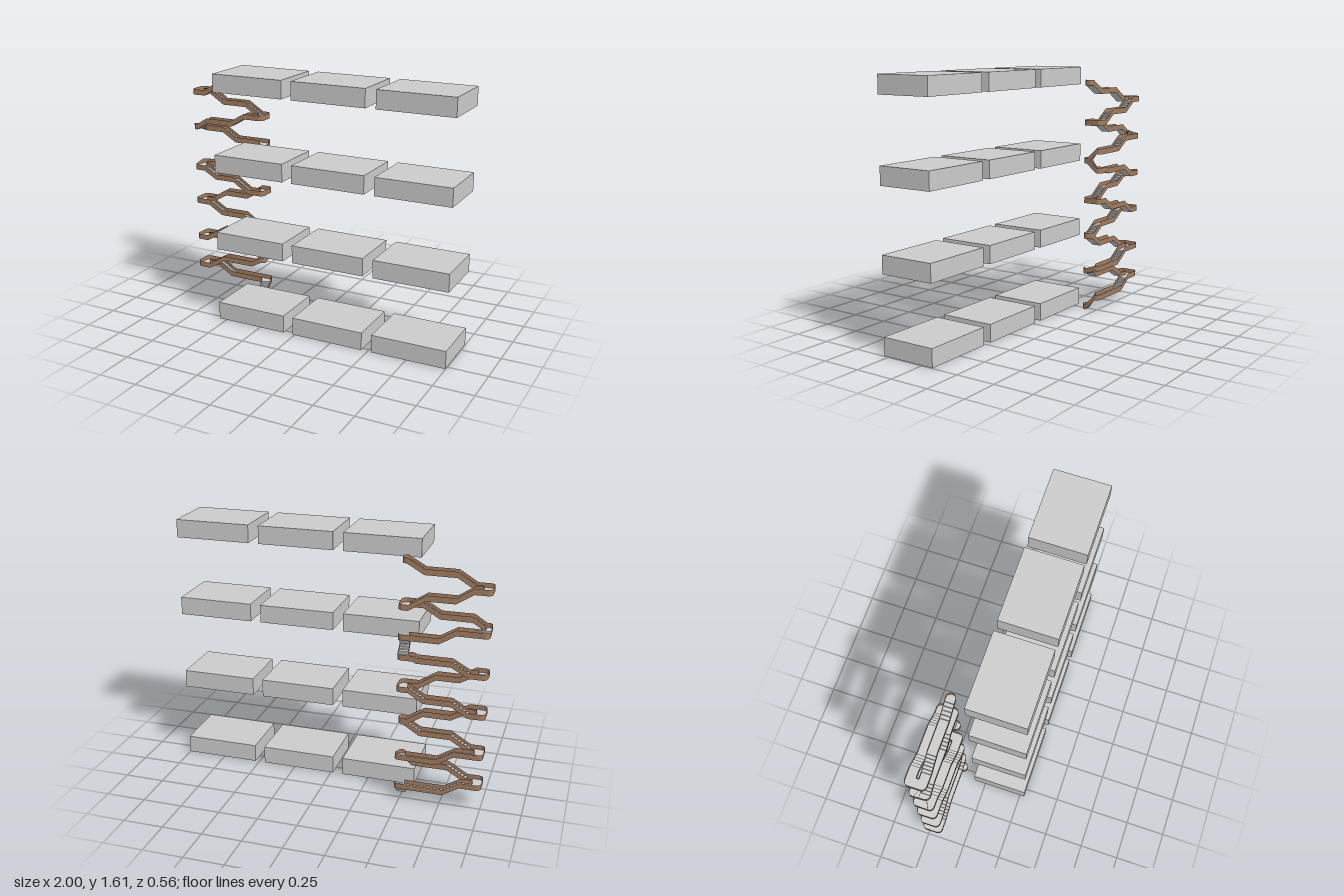
import * as THREE from 'three';

const HALF = 0.029;          // half width of the stairway
const RAIL = 0.018;          // balustrade reaches this far above and below the path
const F = -0.18, B = -0.252; // front and back lanes (z)
const LEFT = -0.971, RIGHT = -0.494;

const grey = new THREE.MeshStandardMaterial({ color: 0xcccccc, side: THREE.DoubleSide, flatShading: true });
const brown = new THREE.MeshStandardMaterial({ color: 0xa07c60, side: THREE.DoubleSide, flatShading: true });

// Each flight between floors: [x, y, z] along the centre line, going down
const flights = [
  [[RIGHT, 1.512, F], [-0.6, 1.452, F], [-0.79, 1.452, F], [-0.9, 1.385, F], [LEFT, 1.385, F],
   [LEFT, 1.385, B], [-0.9, 1.385, B], [-0.8, 1.32, B], [-0.63, 1.32, B], [-0.525, 1.254, B], [RIGHT, 1.254, B],
   [RIGHT, 1.254, F], [-0.6, 1.254, F], [-0.7, 1.195, F], [-0.89, 1.195, F], [-0.965, 1.148, F], [LEFT, 1.148, F],
   [LEFT, 1.13, B], [-0.81, 1.13, B], [-0.71, 1.07, B], [RIGHT, 1.07, B], [RIGHT, 1.005, F]],
  [[RIGHT, 1.005, F], [RIGHT, 0.945, B], [-0.56, 0.945, B], [-0.58, 0.935, B], [-0.79, 0.935, B], [-0.89, 0.877, B],
   [LEFT, 0.877, B], [LEFT, 0.865, F], [-0.92, 0.865, F], [-0.83, 0.813, F], [-0.69, 0.813, F], [-0.58, 0.742, F],
   [RIGHT, 0.742, F], [RIGHT, 0.742, B], [-0.54, 0.742, B], [-0.63, 0.685, B], [-0.8, 0.685, B], [-0.9, 0.625, B],
   [LEFT, 0.625, B], [LEFT, 0.625, F], [-0.89, 0.625, F], [-0.79, 0.565, F], [-0.62, 0.565, F], [-0.52, 0.502, F], [RIGHT, 0.502, F]],
  [[RIGHT, 0.502, F], [-0.6, 0.435, F], [-0.79, 0.435, F], [-0.91, 0.362, F], [LEFT, 0.362, F],
   [LEFT, 0.36, B], [-0.83, 0.36, B], [-0.72, 0.292, B], [RIGHT, 0.292, B], [RIGHT, 0.265, F], [-0.56, 0.228, F],
   [-0.78, 0.228, F], [-0.9, 0.157, F], [LEFT, 0.157, F], [LEFT, 0.157, B], [-0.87, 0.157, B], [-0.77, 0.093, B],
   [RIGHT, 0.093, B], [RIGHT, 0.018, F]],
];

const v2 = (x, z) => new THREE.Vector2(x, z);

// Left and right edge positions along a path, with round joins and round ends
function edgeSections(path) {
  const keys = [];
  const pts = path.map(p => v2(p[0], p[2]));
  const dirs = pts.slice(1).map((p, i) => p.clone().sub(pts[i]).normalize());
  const add = (c, l, r, y) => keys.push({ l: c.clone().add(l), r: c.clone().add(r), y });
  const across = (c, n, w, y) => add(c, n.clone().multiplyScalar(w), n.clone().multiplyScalar(-w), y);
  const side = d => v2(d.y, -d.x);
  const last = pts.length - 1;
  pts.forEach((c, i) => {
    const y = path[i][1];
    if (i === 0 || i === last) {
      const d = dirs[i === 0 ? 0 : last - 1];
      for (let k = 0; k <= 6; k++) {
        const a = (k / 6) * Math.PI / 2 + (i ? Math.PI / 2 : 0);
        across(c.clone().addScaledVector(d, -HALF * Math.cos(a)), side(d), HALF * Math.sin(a), y);
      }
      return;
    }
    const n1 = side(dirs[i - 1]), n2 = side(dirs[i]);
    if (n1.dot(n2) > 0.9) return across(c, n1, HALF, y);
    const turn = Math.sign(dirs[i].dot(n1));
    const inner = n1.clone().add(n2).multiplyScalar(turn * HALF);
    for (let k = 0; k <= 6; k++) {
      const a = (k / 6) * Math.PI / 2;
      const outer = n1.clone().multiplyScalar(Math.cos(a)).addScaledVector(n2, Math.sin(a)).multiplyScalar(-turn * HALF);
      turn > 0 ? add(c, inner, outer, y) : add(c, outer, inner, y);
    }
  });
  return keys;
}

// Cut every sloping stretch into steps: f is the tread height
function addSteps(keys) {
  const out = [];
  keys.forEach((k, i) => {
    if (i === 0) return out.push({ ...k, f: k.y });
    const p = keys[i - 1], drop = p.y - k.y;
    const n = drop > 0.001 ? Math.max(1, Math.round(drop / 0.012)) : 0;
    if (!n) return out.push({ ...k, f: k.y });
    for (let s = 1; s <= n; s++) {
      const t = s / n;
      const q = { l: p.l.clone().lerp(k.l, t), r: p.r.clone().lerp(k.r, t), y: p.y - drop * t };
      out.push({ ...q, f: p.y - drop * (s - 1) / n }, { ...q, f: q.y });
    }
  });
  return out;
}

// Ribbon between two lines derived from the sections
function ribbon(name, sections, lineA, lineB, material) {
  const pos = [];
  const tri = (a, b, c) => {
    const area = b.clone().sub(a).cross(c.clone().sub(a)).length();
    if (area > 1e-9) for (const p of [a, b, c]) pos.push(p.x, p.y, p.z);
  };
  for (let i = 1; i < sections.length; i++) {
    const a = lineA(sections[i - 1]), b = lineB(sections[i - 1]);
    const c = lineB(sections[i]), d = lineA(sections[i]);
    tri(a, b, c);
    tri(a, c, d);
  }
  const geo = new THREE.BufferGeometry();
  geo.setAttribute('position', new THREE.Float32BufferAttribute(pos, 3));
  geo.computeVertexNormals();
  const mesh = new THREE.Mesh(geo, material);
  mesh.name = name;
  return mesh;
}

function createFlight(path) {
  const group = new THREE.Group();
  group.name = 'stairFlight';
  const sections = addSteps(edgeSections(path));
  const at = (edge, height, dy) => s => new THREE.Vector3(s[edge].x, s[height] + dy, s[edge].y);
  group.add(
    ribbon('treads', sections, at('l', 'f', -0.01), at('r', 'f', -0.01), grey),
    ribbon('underside', sections, at('r', 'y', -RAIL), at('l', 'y', -RAIL), grey),
    ribbon('leftBalustrade', sections, at('l', 'y', -RAIL), at('l', 'y', RAIL), brown),
    ribbon('rightBalustrade', sections, at('r', 'y', RAIL), at('r', 'y', -RAIL), brown),
  );
  return group;
}

export function createModel() {
  const model = new THREE.Group();
  model.name = 'stackedRoomsWithStairs';

  // Four storeys of three rooms
  const room = new THREE.BoxGeometry(0.474, 0.113, 0.357);
  for (const y of [0.058, 0.54, 1.047, 1.553]) {
    const storey = new THREE.Group();
    storey.name = 'storey';
    for (const x of [-0.315, 0.223, 0.762]) {
      const mesh = new THREE.Mesh(room, grey);
      mesh.name = 'room';
      mesh.position.set(x, y, 0.102);
      storey.add(mesh);
    }
    model.add(storey);
  }

  // Winding stairway linking the storeys
  const stairs = new THREE.Group();
  stairs.name = 'stairway';
  flights.forEach(path => stairs.add(createFlight(path)));
  model.add(stairs);
  return model;
}
